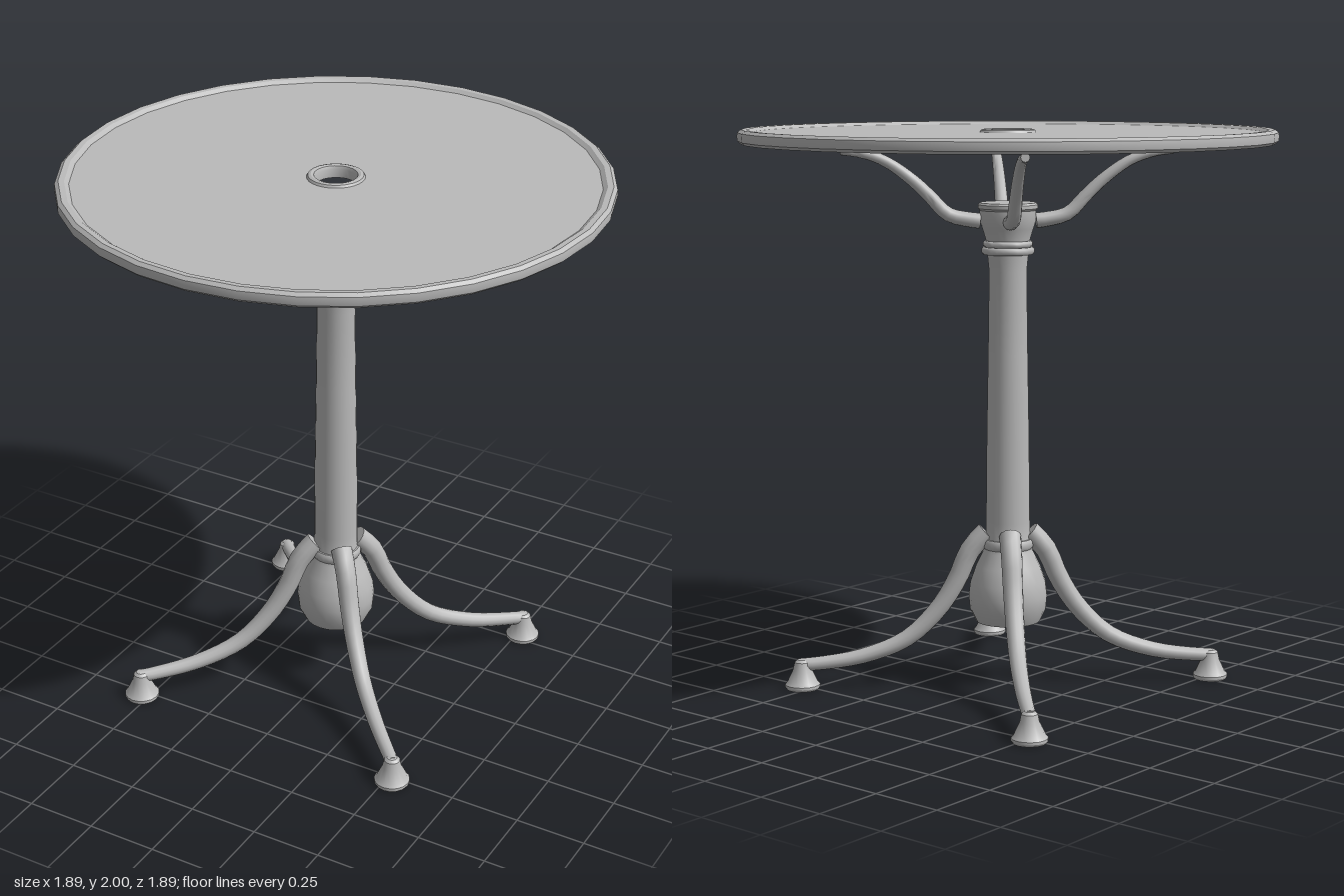
import * as THREE from 'three';
import { toCreasedNormals } from 'three/addons/utils/BufferGeometryUtils.js';

const metal = new THREE.MeshStandardMaterial({ color: 0xbababa });
metal.name = 'grey metal';

// Turned part; profile is [radius, height] from bottom to top on the outside
function turned(name, profile, sides = 32, crease = 0.5) {
  const points = profile.map(([r, y]) => new THREE.Vector2(r, y));
  const geometry = toCreasedNormals(new THREE.LatheGeometry(points, sides), crease);
  const mesh = new THREE.Mesh(geometry, metal);
  mesh.name = name;
  return mesh;
}

// Closed tapering tube through [reach, height] points, radius r0 to r1
function taperedTube(name, path, r0, r1, steps = 22, sides = 12) {
  const curve = new THREE.CatmullRomCurve3(path.map(([x, y]) => new THREE.Vector3(x * Math.SQRT2, y, 0)));
  const geometry = new THREE.TubeGeometry(curve, steps, 1, sides);
  const pos = geometry.attributes.position;
  const v = new THREE.Vector3();
  for (let i = 0; i <= steps; i++) {
    const centre = curve.getPointAt(i / steps);
    // The first and last rings collapse onto their neighbours to form flat caps
    const isCap = i === 0 || i === steps;
    const target = curve.getPointAt(i === 0 ? 1 / steps : i === steps ? 1 - 1 / steps : i / steps);
    const radius = isCap ? 0 : THREE.MathUtils.lerp(r0, r1, i / steps);
    for (let j = 0; j <= sides; j++) {
      const k = i * (sides + 1) + j;
      v.fromBufferAttribute(pos, k).sub(centre).multiplyScalar(radius).add(target);
      pos.setXYZ(k, v.x, v.y, v.z);
    }
  }
  const mesh = new THREE.Mesh(toCreasedNormals(geometry, 0.8), metal);
  mesh.name = name;
  return mesh;
}

export function createModel() {
  const table = new THREE.Group();
  table.name = 'pedestalTable';

  // Round top with a raised rim, and a raised collar around the centre hole
  table.add(turned('tableTop', [
    [0.07, 1.955], [0.9, 1.955], [0.91, 1.95], [0.932, 1.95], [0.943, 1.96], [0.945, 1.975],
    [0.943, 1.99], [0.93, 2.0], [0.91, 1.999], [0.895, 1.988], [0.1, 1.988], [0.095, 1.996],
    [0.085, 1.999], [0.075, 1.996], [0.07, 1.985], [0.07, 1.955],
  ]));

  // Flat ring that carries the top
  table.add(turned('supportRing', [
    [0.555, 1.957], [0.555, 1.936], [0.59, 1.936], [0.59, 1.957],
  ]));

  // Tapered column with a bulbous base and a flared head
  table.add(turned('column', [
    [0, 0.235], [0.115, 0.235], [0.137, 0.28], [0.142, 0.33], [0.136, 0.38], [0.115, 0.44],
    [0.09, 0.49], [0.08, 0.52], [0.079, 0.6], [0.076, 0.9], [0.071, 1.2], [0.067, 1.5],
    [0.074, 1.57], [0.078, 1.61], [0.09, 1.65], [0.1, 1.68], [0.1, 1.715], [0.106, 1.722],
    [0.106, 1.735], [0.1, 1.742], [0, 1.742],
  ], 24));

  // Moulded bands on the column
  const bands = [[0.52, 0.092, 0.018], [1.573, 0.094, 0.013], [1.597, 0.088, 0.011]];
  for (const [y, r, h] of bands) {
    table.add(turned('columnBand', [
      [0.06, y - h], [r - 0.006, y - h], [r, y - h * 0.5], [r, y + h * 0.5], [r - 0.006, y + h], [0.06, y + h],
    ], 24, 0.9));
  }

  // Four legs with feet and four arms, on the diagonals
  for (let i = 0; i < 4; i++) {
    const side = new THREE.Group();
    side.name = 'legAndArm';
    side.rotation.y = Math.PI / 4 + i * Math.PI / 2;

    side.add(taperedTube('leg', [
      [0.03, 0.585], [0.055, 0.56], [0.097, 0.495], [0.13, 0.39], [0.18, 0.28],
      [0.26, 0.175], [0.37, 0.115], [0.47, 0.093], [0.56, 0.085],
    ], 0.04, 0.023));

    const foot = turned('foot', [
      [0, 0], [0.058, 0], [0.063, 0.008], [0.063, 0.017], [0.055, 0.026],
      [0.034, 0.07], [0.028, 0.098], [0.018, 0.107], [0, 0.109],
    ], 16);
    foot.position.x = 0.525 * Math.SQRT2;
    side.add(foot);

    side.add(taperedTube('arm', [
      [0.05, 1.675], [0.095, 1.682], [0.15, 1.702], [0.195, 1.765], [0.238, 1.822],
      [0.305, 1.888], [0.365, 1.917], [0.435, 1.928],
    ], 0.028, 0.015));
    table.add(side);
  }
  return table;
}
